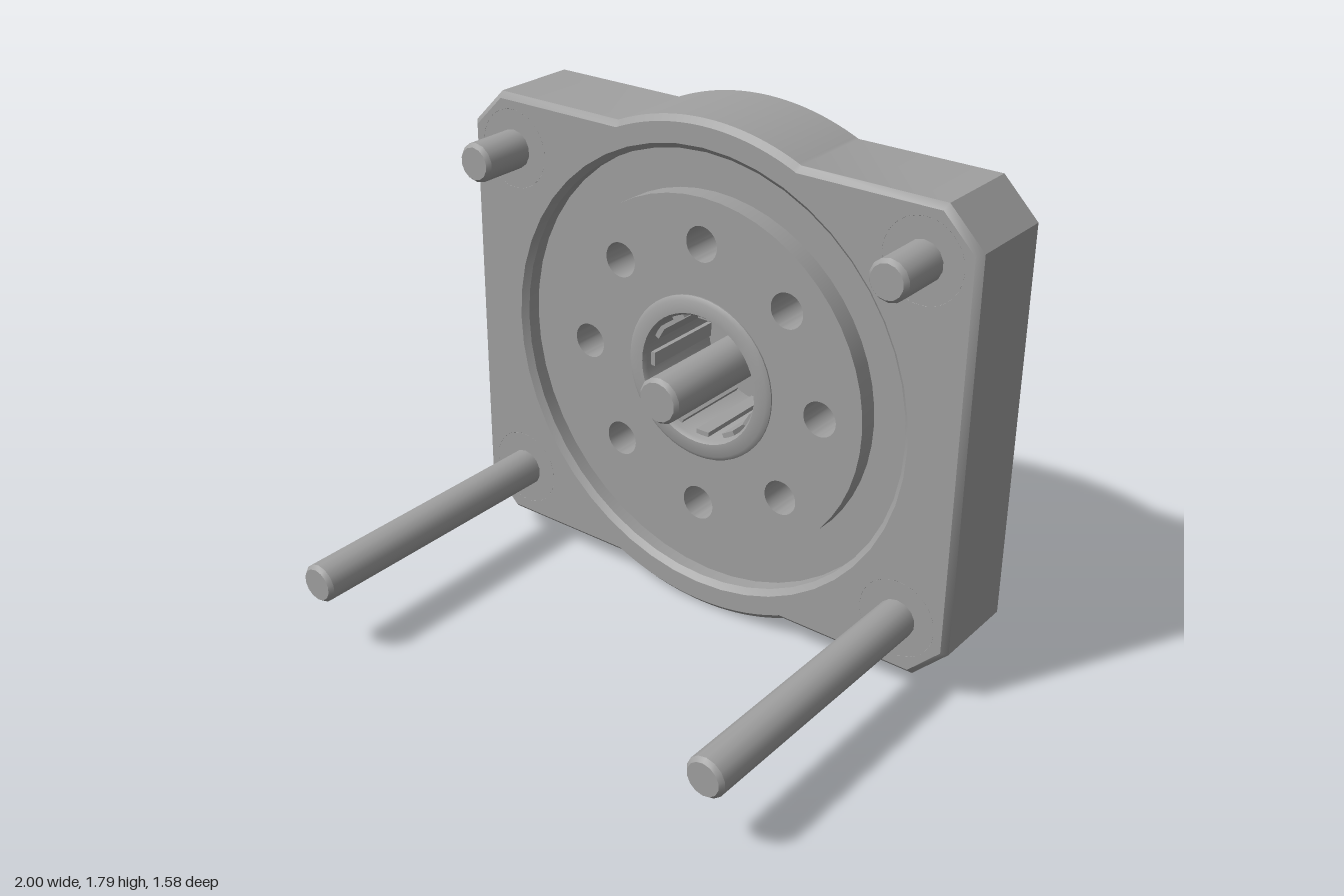
import * as THREE from 'three';
import { toCreasedNormals } from 'three/addons/utils/BufferGeometryUtils.js';

const steel = new THREE.MeshStandardMaterial({ color: 0xa0a0a0 });
steel.name = 'grey steel';

const CY = 0.895; // height of the drive axis

function mesh(name, geometry) {
  const m = new THREE.Mesh(toCreasedNormals(geometry, 0.6), steel);
  m.name = name;
  return m;
}

// Turned part along z; profile points are [radius, z], outer side listed back to front
function turned(name, points, sides = 48) {
  const g = new THREE.LatheGeometry(points.map(([r, z]) => new THREE.Vector2(r, z)), sides);
  return mesh(name, g.rotateX(Math.PI / 2));
}

function circle(r, x = 0, y = 0, Type = THREE.Path) {
  return new Type().absarc(x, y, r, 0, Math.PI * 2, false);
}

// Flat part between two z levels
function slab(name, shape, z0, z1, bevel = 0, segments = 20) {
  const g = new THREE.ExtrudeGeometry(shape, {
    depth: z1 - z0 - 2 * bevel, curveSegments: segments,
    bevelEnabled: bevel > 0, bevelSize: bevel, bevelThickness: bevel, bevelSegments: 1,
  });
  return mesh(name, g.translate(0, 0, z0 + bevel));
}

function disc(name, outer, inner, z0, z1, boltHoles) {
  const shape = circle(outer, 0, 0, THREE.Shape);
  shape.holes.push(circle(inner));
  for (let i = 0; boltHoles && i < 8; i++) {
    const a = (i * Math.PI) / 4;
    shape.holes.push(circle(0.062, Math.cos(a) * 0.48, Math.sin(a) * 0.48));
  }
  return slab(name, shape, z0, z1, 0, 28);
}

// Socket-head screw: head at the back, shaft running forward
function screw(name, headR, hexR, back, neck, shaftR, tip) {
  const g = new THREE.Group();
  g.name = name;
  const head = circle(headR, 0, 0, THREE.Shape);
  const hex = [];
  for (let i = 0; i < 6; i++) {
    hex.push(new THREE.Vector2(Math.cos(i * Math.PI / 3) * hexR, Math.sin(i * Math.PI / 3) * hexR));
  }
  head.holes.push(new THREE.Path(hex));
  g.add(slab('screwHead', head, back, neck));
  g.add(turned('screwShaft', [
    [0, neck - 0.005], [shaftR, neck - 0.005], [shaftR, tip - 0.015], [shaftR - 0.012, tip], [0, tip],
  ], 14));
  return g;
}

export function createModel() {
  const model = new THREE.Group();
  model.name = 'gearDrive';
  const body = new THREE.Group();
  body.name = 'driveBody';
  body.position.y = CY;
  model.add(body);

  // Housing: chamfered rectangle with round bulges at the top and bottom
  const W = 0.98, H = 0.8, R = 0.875, cut = 0.115;
  const a = Math.asin(H / R);
  const outline = new THREE.Shape();
  outline.moveTo(W, -H + cut);
  outline.lineTo(W, H - cut);
  outline.lineTo(W - cut, H);
  outline.absarc(0, 0, R, a, Math.PI - a, false);
  outline.lineTo(-W + cut, H);
  outline.lineTo(-W, H - cut);
  outline.lineTo(-W, -H + cut);
  outline.lineTo(-W + cut, -H);
  outline.absarc(0, 0, R, Math.PI + a, 2 * Math.PI - a, false);
  outline.lineTo(W - cut, -H);
  outline.holes.push(circle(0.805));

  // Corner screws: short at the top, long at the bottom
  for (const x of [-0.81, 0.81]) {
    for (const y of [-0.62, 0.63]) {
      outline.holes.push(circle(0.14, x, y));
      const corner = new THREE.Group();
      corner.name = 'cornerScrew';
      corner.position.set(x, y, 0);
      corner.add(turned('screwSeat', [[0, -0.53], [0.14, -0.53], [0.14, -0.25], [0, -0.25]], 28));
      corner.add(screw('mountingScrew', 0.1, 0.06, -0.585, -0.53, 0.069, y > 0 ? -0.05 : 0.79));
      body.add(corner);
    }
  }
  body.add(slab('housing', outline, -0.61, -0.25, 0.02, 24));

  // Bearing ring recessed between housing and flange
  body.add(disc('bearingRing', 0.8, 0.59, -0.58, -0.32, false));
  body.add(disc('backRim', 0.8, 0.75, -0.61, -0.57, false));

  // Rotating flange with eight through holes
  body.add(disc('frontFlange', 0.64, 0.25, -0.45, -0.25, true));
  body.add(disc('backFlange', 0.6, 0.25, -0.67, -0.45, true));

  // Hub with a dished back and an open bore at the front
  body.add(turned('hub', [
    [0, -0.73], [0.16, -0.73], [0.24, -0.765], [0.28, -0.765], [0.295, -0.75], [0.295, -0.66],
    [0.27, -0.6], [0.27, -0.3], [0.295, -0.26], [0.295, -0.245], [0.28, -0.235], [0.235, -0.235],
    [0.225, -0.25], [0.225, -0.6], [0, -0.6],
  ]));

  // Splines inside the bore
  for (let i = 0; i < 12; i++) {
    const t = (i * Math.PI) / 6;
    const spline = mesh('boreSpline', new THREE.BoxGeometry(0.03, 0.05, 0.32));
    spline.position.set(Math.cos(t) * 0.222, Math.sin(t) * 0.222, -0.43);
    spline.rotation.z = t;
    body.add(spline);
  }

  body.add(screw('centreScrew', 0.16, 0.085, -0.79, -0.73, 0.082, -0.02));
  return model;
}
